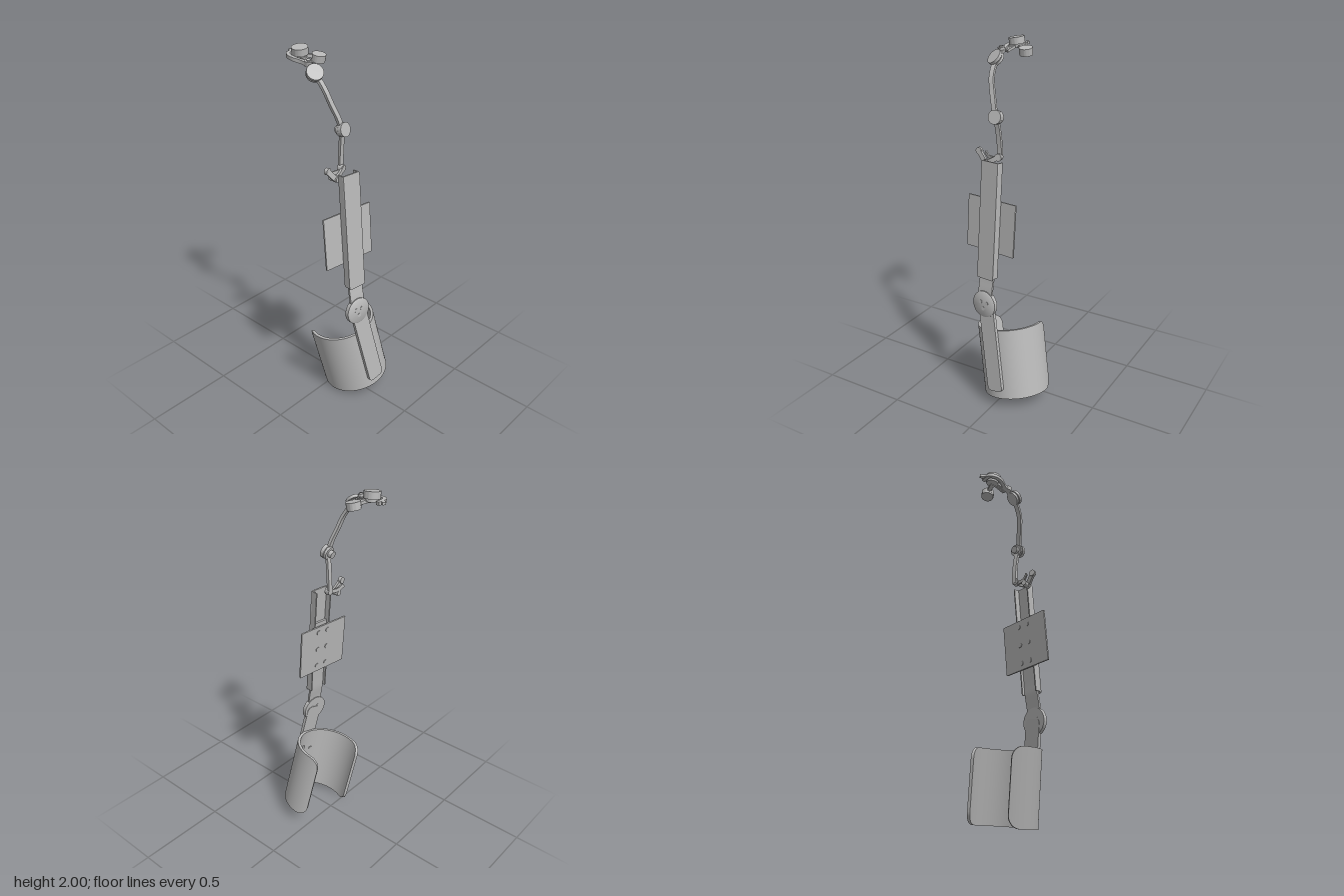
import * as THREE from 'three';
import { toCreasedNormals } from 'three/addons/utils/BufferGeometryUtils.js';

const V = (x, y, z) => new THREE.Vector3(x, y, z);
const Y = V(0, 1, 0);

export function createModel() {
  const root = new THREE.Group();
  root.name = 'jointedArmBrace';
  const grey = new THREE.MeshStandardMaterial({ color: 0xb8b8b8 });
  grey.name = 'plain grey';

  function add(parent, name, geometry) {
    const mesh = new THREE.Mesh(geometry, grey);
    mesh.name = name;
    parent.add(mesh);
    return mesh;
  }
  // round pad or pin: centre, radius, length and axis
  function disc(parent, name, c, r, len, axis, r2 = r) {
    const g = toCreasedNormals(new THREE.CylinderGeometry(r2, r, len, 40), 0.6);
    const mesh = add(parent, name, g);
    mesh.position.set(...c);
    mesh.quaternion.setFromUnitVectors(Y, V(...axis).normalize());
    return mesh;
  }
  // flat bar swept along a smooth path, w wide along wDir and t thick
  function strap(parent, name, pts, wDir, w, t) {
    const curve = new THREE.CatmullRomCurve3(pts.map(p => V(...p)));
    const g = new THREE.BoxGeometry(w, t, 1, 1, 1, 24);
    const p = g.attributes.position;
    for (let i = 0; i < p.count; i++) {
      const u = THREE.MathUtils.clamp(p.getZ(i) + 0.5, 0, 1);
      const T = curve.getTangent(u), W = V(...wDir);
      W.addScaledVector(T, -W.dot(T)).normalize();
      const N = T.clone().cross(W);
      const q = curve.getPoint(u).addScaledVector(W, p.getX(i)).addScaledVector(N, p.getY(i));
      p.setXYZ(i, q.x, q.y, q.z);
    }
    g.computeVertexNormals();
    return add(parent, name, g);
  }
  // upright plate with rounded corners, from z0 to z0 + t
  function plate(parent, name, x, y0, y1, w, r, z0, t) {
    const s = new THREE.Shape(), h = w / 2;
    s.moveTo(x - h + r, y0);
    s.lineTo(x + h - r, y0); s.absarc(x + h - r, y0 + r, r, -Math.PI / 2, 0);
    s.lineTo(x + h, y1 - r); s.absarc(x + h - r, y1 - r, r, 0, Math.PI / 2);
    s.lineTo(x - h + r, y1); s.absarc(x - h + r, y1 - r, r, Math.PI / 2, Math.PI);
    s.lineTo(x - h, y0 + r); s.absarc(x - h + r, y0 + r, r, Math.PI, Math.PI * 1.5);
    const g = new THREE.ExtrudeGeometry(s, { depth: t, bevelEnabled: false, curveSegments: 8 });
    g.translate(0, 0, z0);
    return add(parent, name, toCreasedNormals(g, 0.6));
  }

  // ---- lower section: open cuff with its strut ----
  const lower = new THREE.Group();
  lower.name = 'lowerSection';
  lower.position.set(0.018, 0.24, 0.055);
  lower.quaternion.setFromUnitVectors(Y, V(-0.075, 0.39, -0.05).normalize());
  root.add(lower);

  // curved shell; height shrinks near both ends to round the corners
  const A0 = -2.27, A1 = 1.97, RO = 0.187, TH = 0.016, H = 0.2, CR = 0.065;
  const shell = new THREE.BoxGeometry(1, 1, 1, 72, 4, 1);
  const sp = shell.attributes.position;
  for (let i = 0; i < sp.count; i++) {
    const s = 0.5 - 0.5 * Math.cos(Math.PI * (sp.getX(i) + 0.5));
    const a = A0 + (A1 - A0) * s;
    const d = Math.min(CR, Math.min(s, 1 - s) * (A1 - A0) * RO);
    const half = H - CR + Math.sqrt(Math.max(0, CR * CR - (CR - d) ** 2));
    const r = RO - TH / 2 + sp.getZ(i) * TH;
    sp.setXYZ(i, r * Math.sin(a), sp.getY(i) * 2 * half, r * Math.cos(a));
  }
  shell.computeVertexNormals();
  add(lower, 'cuff', shell);

  const strutGroup = new THREE.Group();
  strutGroup.name = 'lowerStrutGroup';
  strutGroup.rotation.y = -0.12;
  lower.add(strutGroup);
  plate(strutGroup, 'lowerStrut', 0, -0.155, 0.37, 0.1, 0.025, 0.181, 0.019);
  for (let i = 0; i < 3; i++)
    for (const s of [-1, 1]) {
      const a = s * 0.19, y = -0.09 + i * 0.085 + s * 0.012;
      disc(strutGroup, 'cuffScrew', [0.169 * Math.sin(a), y, 0.169 * Math.cos(a)],
        0.013, 0.008, [Math.sin(a), 0, Math.cos(a)]);
    }

  // ---- upper section: hinge, link, channel and back plate ----
  const upper = new THREE.Group();
  upper.name = 'upperSection';
  upper.position.set(-0.08, 0.605, 0.203);
  upper.rotation.set(-0.085, -0.12, 0, 'YXZ');
  root.add(upper);

  disc(upper, 'hingeDisc', [0, 0, -0.001], 0.076, 0.022, [0, 0, 1]);
  disc(upper, 'hingeCap', [0, 0, 0.012], 0.075, 0.006, [0, 0, 1], 0.066);
  for (let i = 0; i < 3; i++) {
    const a = i * Math.PI * 2 / 3 + 0.5;
    for (const z of [0.015, -0.012])
      disc(upper, 'hingeScrew', [0.024 * Math.cos(a), 0.024 * Math.sin(a), z], 0.011, 0.003, [0, 0, 1]);
  }
  strap(upper, 'upperLink', [[0, 0.02, 0], [0, 0.08, -0.002], [0, 0.15, -0.009],
    [0, 0.22, -0.009], [0, 0.6, -0.009]], [1, 0, 0], 0.092, 0.012);
  plate(upper, 'channelFace', 0, 0.15, 0.8, 0.108, 0.008, 0.002, 0.009);
  for (const s of [-1, 1]) {
    const f = add(upper, 'channelFlange', new THREE.BoxGeometry(0.007, 0.64, 0.034));
    f.position.set(s * 0.0505, 0.479, -0.013);
  }
  plate(upper, 'backPlate', -0.008, 0.298, 0.588, 0.317, 0.003, -0.039, 0.009);
  for (const y of [0.335, 0.443, 0.551])
    for (const x of [-0.035, 0.03])
      disc(upper, 'plateScrew', [x, y, -0.040], 0.014, 0.005, [0, 0, 1]);

  // ---- hand linkage: bracket and lower rod ----
  const hand = new THREE.Group();
  hand.name = 'handLinkage';
  root.add(hand);
  strap(hand, 'bracketArm', [[-0.135, 1.375, 0.09], [-0.1, 1.39, 0.088], [-0.05, 1.42, 0.075]],
    [0, 1, 0], 0.026, 0.012);
  strap(hand, 'bracketGrip', [[-0.185, 1.44, 0.08], [-0.16, 1.41, 0.086], [-0.13, 1.375, 0.094]],
    [0.7, 0.7, 0], 0.028, 0.014);
  disc(hand, 'gripEnd', [-0.178, 1.432, 0.08], 0.018, 0.018, [0.1, 0, 1]);
  disc(hand, 'bracketPin', [-0.13, 1.378, 0.08], 0.015, 0.05, [0.1, 0, 1]);
  strap(hand, 'bracketTab', [[-0.16, 1.42, 0.048], [-0.13, 1.4, 0.06], [-0.08, 1.4, 0.072]],
    [0, 1, 0], 0.02, 0.008);
  disc(hand, 'rodFoot', [-0.065, 1.41, 0.07], 0.02, 0.026, [0.1, 0, 1]);
  strap(hand, 'lowerRod', [[-0.063, 1.4, 0.062], [-0.062, 1.46, 0.063], [-0.065, 1.54, 0.07],
    [-0.07, 1.61, 0.08]], [1, 0, 0], 0.026, 0.015);

  // middle joint
  const n1 = [0.05, 0.25, 1];
  disc(hand, 'middleJoint', [-0.07, 1.626, 0.093], 0.037, 0.02, n1);
  disc(hand, 'middleJointBack', [-0.07, 1.621, 0.074], 0.035, 0.013, n1);
  disc(hand, 'middleJointNut', [-0.072, 1.618, 0.057], 0.02, 0.02, n1);

  // curved upper rod
  strap(hand, 'upperRod', [[-0.078, 1.635, 0.082], [-0.092, 1.69, 0.07], [-0.112, 1.75, 0.05],
    [-0.128, 1.81, 0.03], [-0.135, 1.86, -0.002], [-0.138, 1.885, -0.03]], [1, 0, 0], 0.026, 0.016);

  // wrist joint
  const n2 = [-0.35, 0.65, 0.65];
  disc(hand, 'wristJoint', [-0.145, 1.905, -0.028], 0.043, 0.016, n2);
  disc(hand, 'wristJointBack', [-0.138, 1.892, -0.041], 0.04, 0.014, n2);
  strap(hand, 'wristLink', [[-0.135, 1.9, -0.04], [-0.132, 1.925, -0.065], [-0.132, 1.935, -0.09]],
    [1, 0, 0], 0.03, 0.014);
  disc(hand, 'smallPivot', [-0.136, 1.937, -0.08], 0.018, 0.026, [-0.1, 1, 0.2]);
  disc(hand, 'smallPivotCap', [-0.137, 1.952, -0.077], 0.01, 0.008, [-0.1, 1, 0.2]);

  // finger supports
  for (let i = 0; i < 3; i++)
    strap(hand, 'fingerLink', [[-0.125 + i * 0.011, 1.93, -0.085], [-0.12 + i * 0.011, 1.94, -0.12],
      [-0.112 + i * 0.011, 1.95, -0.165]], [1, 0, 0], 0.009, 0.014);
  strap(hand, 'curvedArm', [[-0.135, 1.932, -0.085], [-0.139, 1.938, -0.125], [-0.15, 1.945, -0.165],
    [-0.144, 1.95, -0.205], [-0.118, 1.953, -0.232], [-0.07, 1.95, -0.228]], [0, 1, 0], 0.018, 0.02);
  strap(hand, 'curvedArmTip', [[-0.105, 1.953, -0.233], [-0.09, 1.954, -0.245], [-0.076, 1.955, -0.262]],
    [0, 1, 0], 0.014, 0.018);
  const n3 = [-0.14, 1, 0.06];
  disc(hand, 'upperFingerPad', [-0.099, 1.976, -0.173], 0.042, 0.036, n3);
  disc(hand, 'upperFingerPadBase', [-0.095, 1.951, -0.175], 0.034, 0.016, n3);
  strap(hand, 'padLink', [[-0.09, 1.948, -0.17], [-0.055, 1.945, -0.15], [-0.02, 1.93, -0.13]],
    [0, 1, 0], 0.016, 0.022);
  const n4 = [0.03, 1, 0.2];
  disc(hand, 'sideFingerPad', [-0.017, 1.936, -0.125], 0.036, 0.03, n4);
  disc(hand, 'sideFingerPadBase', [-0.017, 1.918, -0.129], 0.035, 0.01, n4);
  return root;
}
